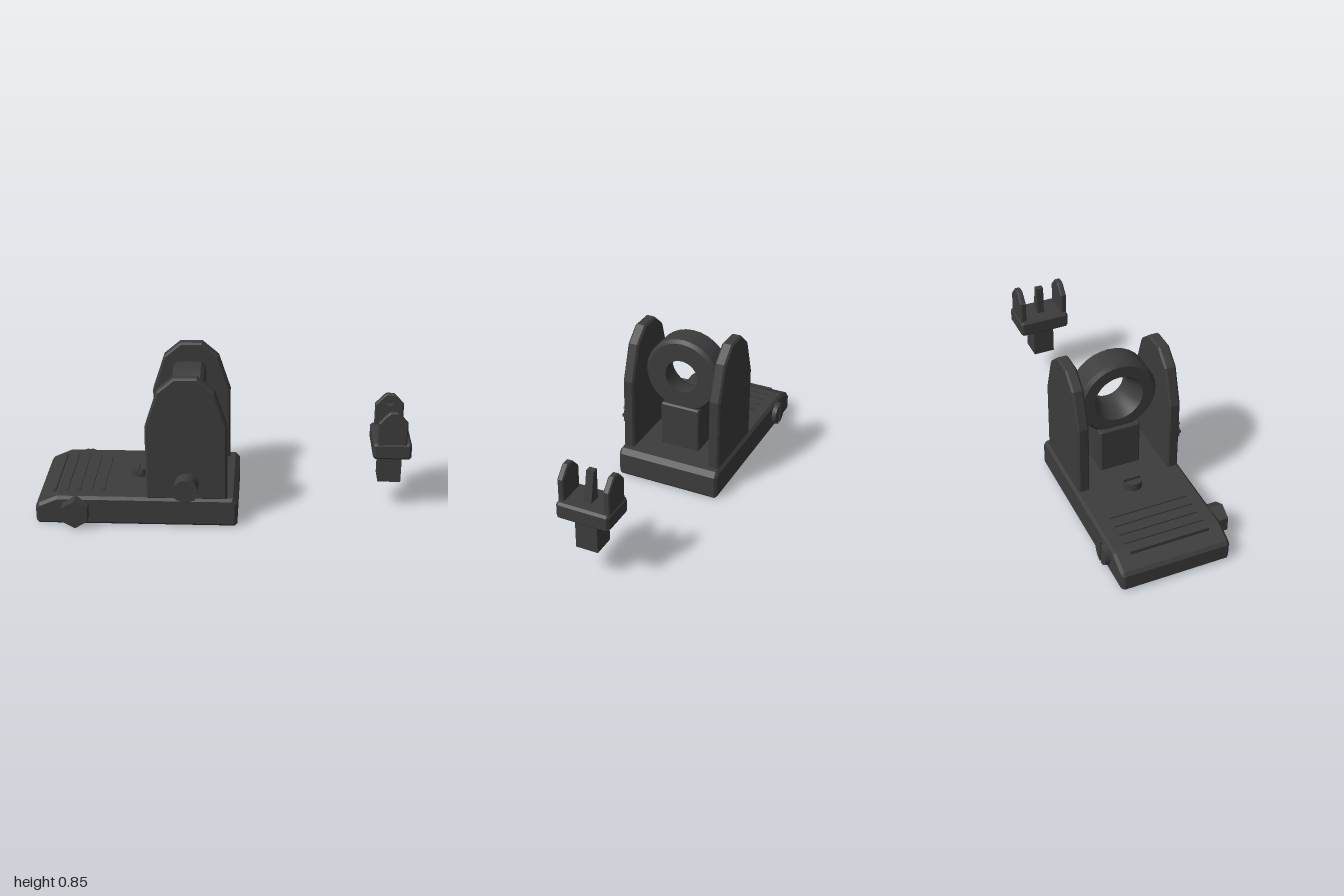
import * as THREE from 'three';
import { toCreasedNormals } from 'three/addons/utils/BufferGeometryUtils.js';

const ZC = -0.027; // shared centre plane of both sights

export function createModel() {
  const root = new THREE.Group();
  const gunmetal = new THREE.MeshStandardMaterial({ color: 0x3c3c3c });
  gunmetal.name = 'dark gunmetal';

  const add = (name, geometry, x = 0, y = 0, z = 0, parent = root) => {
    const mesh = new THREE.Mesh(geometry, gunmetal);
    mesh.name = name;
    mesh.position.set(x, y, z);
    parent.add(mesh);
    return mesh;
  };

  // Bevelled plate: side profile in x/y, extruded from z0 to z1
  const plate = (points, z0, z1, bevel) => {
    const shape = new THREE.Shape(points.map(([x, y]) => new THREE.Vector2(x, y)));
    const geometry = new THREE.ExtrudeGeometry(shape, {
      depth: z1 - z0 - 2 * bevel, bevelEnabled: bevel > 0, bevelSegments: 1,
      bevelSize: bevel, bevelThickness: bevel, bevelOffset: -bevel,
    });
    return geometry.translate(0, 0, z0 + bevel);
  };

  // Rectangle with cut corners
  const cutRect = (x0, x1, y0, y1, c) => [
    [x0 + c, y0], [x1 - c, y0], [x1, y0 + c], [x1, y1 - c],
    [x1 - c, y1], [x0 + c, y1], [x0, y1 - c], [x0, y0 + c],
  ];

  // Slotted screw standing on +y
  const screw = (name, radius, height, x, y, z) => {
    const group = new THREE.Group();
    group.name = name;
    group.position.set(x, y, z);
    root.add(group);
    const low = height * 0.6, half = 0.008;
    add('screwHead', toCreasedNormals(new THREE.CylinderGeometry(radius, radius, low, 16), 0.6), 0, low / 2, 0, group);
    const a = Math.asin(half / radius), r = radius * 0.97;
    const segment = new THREE.Shape();
    segment.absarc(0, 0, r, -Math.PI / 2 + a, Math.PI / 2 - a, false);
    for (const turn of [0, Math.PI]) {
      const geometry = new THREE.ExtrudeGeometry(segment, { depth: height - low, bevelEnabled: false, curveSegments: 8 });
      geometry.rotateX(-Math.PI / 2).translate(0, low, 0).rotateY(turn);
      add('screwSlotHalf', geometry, 0, 0, 0, group);
    }
    return group;
  };

  // Rear sight base with sloped tail
  add('base', plate([
    [-0.985, 0], [0.065, 0], [0.08, 0.015], [0.08, 0.135], [0.055, 0.163],
    [-0.885, 0.163], [-0.985, 0.118], [-1, 0.1], [-1, 0.015],
  ], -0.324, 0.27, 0.015));

  // Grip ribs across the tail
  for (let i = 0; i < 5; i++) {
    add('gripRib', new THREE.BoxGeometry(0.016, 0.02, 0.435), -0.905 + i * 0.065, 0.16, ZC);
  }

  // Protective side wings
  const wing = [
    [-0.405, 0.155], [0.025, 0.155], [0.025, 0.57], [-0.04, 0.77],
    [-0.13, 0.847], [-0.25, 0.847], [-0.34, 0.77], [-0.405, 0.57],
  ];
  add('frontWing', plate(wing, 0.2, 0.262, 0.01));
  add('backWing', plate(wing, -0.31, -0.247, 0.01));

  // Aperture block and ring, ring bore flared at the rear
  add('apertureBlock', plate(cutRect(-0.29, -0.09, 0.15, 0.42, 0.008), -0.138, 0.09, 0.008));
  const ringProfile = [
    [0.095, 0], [0.135, -0.083], [0.197, -0.083], [0.215, -0.065],
    [0.215, 0.065], [0.197, 0.083], [0.095, 0.083], [0.095, 0],
  ].map(([r, h]) => new THREE.Vector2(r, h));
  const ring = toCreasedNormals(new THREE.LatheGeometry(ringProfile, 32), 0.5);
  add('apertureRing', ring.rotateZ(-Math.PI / 2), -0.188, 0.6, ZC + 0.002);

  // Screws
  screw('topScrew', 0.05, 0.044, -0.46, 0.162, ZC);
  screw('clampScrew', 0.066, 0.03, -0.785, 0.088, -0.32).rotation.x = -Math.PI / 2;

  // Hexagonal clamp nut
  const nut = new THREE.CylinderGeometry(0.079, 0.079, 0.075, 6).toNonIndexed();
  nut.computeVertexNormals();
  add('clampNut', nut.rotateX(Math.PI / 2), -0.783, 0.089, 0.296);

  // Adjustment knob with notched rim
  const knob = toCreasedNormals(new THREE.CylinderGeometry(0.064, 0.064, 0.09, 24), 0.6);
  add('adjustmentKnob', knob.rotateX(Math.PI / 2), -0.19, 0.247, 0.3);
  for (let i = 0; i < 8; i++) {
    const a = (i * Math.PI) / 4;
    const tooth = add('knobTooth', new THREE.BoxGeometry(0.014, 0.014, 0.016),
      -0.19 + 0.058 * Math.cos(a), 0.247 + 0.058 * Math.sin(a), 0.345);
    tooth.rotation.z = a;
  }

  // Front sight: stem, body, two ears and a sloped post
  add('frontSightStem', new THREE.BoxGeometry(0.124, 0.185, 0.122), 0.897, 0.26, ZC + 0.003);
  add('frontSightBody', plate(cutRect(0.797, 1, 0.339, 0.432, 0.012), -0.17, 0.12, 0.012));
  const ear = [
    [0.818, 0.42], [0.973, 0.42], [0.973, 0.55], [0.928, 0.6],
    [0.915, 0.61], [0.876, 0.61], [0.863, 0.6], [0.818, 0.55],
  ];
  add('frontSightEarLeft', plate(ear, 0.085, 0.118, 0.006));
  add('frontSightEarRight', plate(ear, -0.165, -0.132, 0.006));
  add('frontSightPost', plate([[0.87, 0.42], [0.937, 0.42], [0.903, 0.598], [0.87, 0.598]], -0.045, -0.005, 0));

  return root;
}
